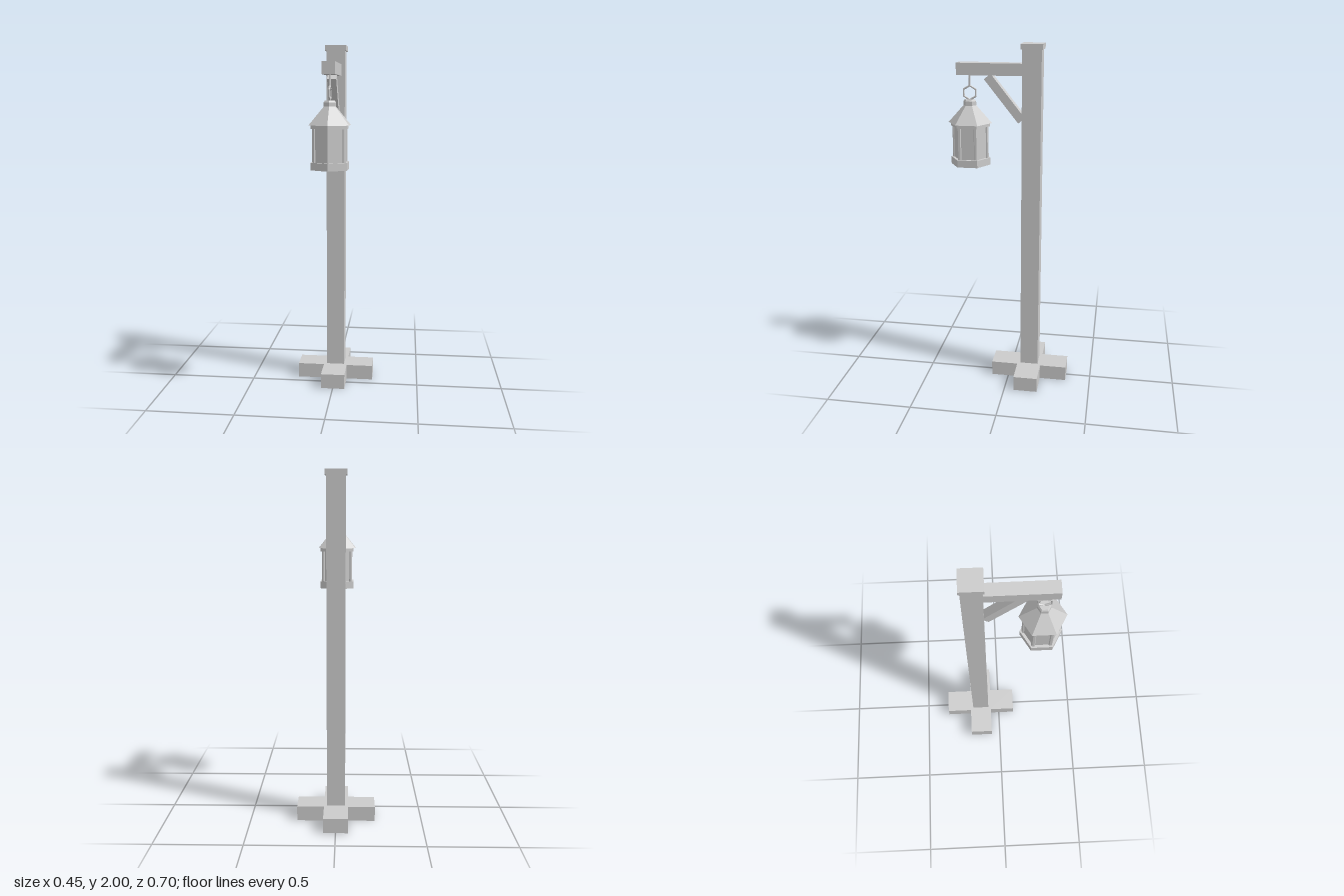
import * as THREE from 'three';

const material = new THREE.MeshStandardMaterial({ color: 0xcccccc, flatShading: true });
const POST_Z = -0.126;
const LAMP_Z = 0.227;

function add(parent, name, geometry, x = 0, y = 0, z = 0) {
  const mesh = new THREE.Mesh(geometry, material);
  mesh.name = name;
  mesh.position.set(x, y, z);
  parent.add(mesh);
  return mesh;
}

// Six-sided frustum spanning y0..y1, with corners facing front and back
function hex(parent, name, rBottom, rTop, y0, y1) {
  return add(parent, name, new THREE.CylinderGeometry(rTop, rBottom, y1 - y0, 6), 0, (y0 + y1) / 2, 0);
}

// Cross-shaped foot: one outline, extruded upwards
function crossGeometry(reach, half, height) {
  const a = reach, b = half;
  const outline = [[a, -b], [a, b], [b, b], [b, a], [-b, a], [-b, b], [-a, b], [-a, -b], [-b, -b], [-b, -a], [b, -a], [b, -b]];
  const shape = new THREE.Shape(outline.map(([x, y]) => new THREE.Vector2(x, y)));
  return new THREE.ExtrudeGeometry(shape, { depth: height, bevelEnabled: false }).rotateX(-Math.PI / 2);
}

function createLantern() {
  const lantern = new THREE.Group();
  lantern.name = 'lantern';

  hex(lantern, 'lanternBase', 0.114, 0.114, 1.323, 1.364);
  hex(lantern, 'lanternPanes', 0.096, 0.096, 1.36, 1.55);
  hex(lantern, 'lanternCollar', 0.112, 0.112, 1.543, 1.567);
  hex(lantern, 'lanternRoof', 0.125, 0.036, 1.562, 1.66);
  hex(lantern, 'roofNeck', 0.036, 0.036, 1.655, 1.683);
  hex(lantern, 'roofNeckTop', 0.036, 0.029, 1.683, 1.692);

  // Corner bars framing the panes
  for (let i = 0; i < 6; i++) {
    const angle = (i * Math.PI) / 3;
    const bar = add(lantern, 'cornerBar', new THREE.CylinderGeometry(0.012, 0.012, 0.19, 6),
      Math.sin(angle) * 0.092, 1.453, Math.cos(angle) * 0.092);
    bar.rotation.y = angle;
  }

  // Six-sided hanging ring and the pin holding it
  const ring = add(lantern, 'hangingRing', new THREE.TorusGeometry(0.039, 0.006, 6, 6), 0, 1.729, 0);
  ring.rotation.set(0, Math.PI / 2, 0);
  ring.geometry.rotateZ(Math.PI / 2);
  add(lantern, 'hangingPin', new THREE.CylinderGeometry(0.006, 0.006, 0.07, 6), 0, 1.8, 0);

  lantern.position.z = LAMP_Z;
  return lantern;
}

export function createModel() {
  const model = new THREE.Group();
  model.name = 'lanternPost';

  add(model, 'crossFoot', crossGeometry(0.227, 0.07, 0.087), 0, 0, POST_Z);
  add(model, 'post', new THREE.BoxGeometry(0.106, 1.9, 0.106), 0, 1.03, POST_Z);
  add(model, 'postCap', new THREE.BoxGeometry(0.121, 0.03, 0.121), 0, 1.985, POST_Z);

  // Horizontal arm running forward from the post
  add(model, 'arm', new THREE.BoxGeometry(0.07, 0.066, 0.38), 0, 1.861, 0.105);

  // Diagonal brace from the post up to the arm
  const low = new THREE.Vector3(0, 1.583, -0.068);
  const high = new THREE.Vector3(0, 1.822, 0.123);
  const along = high.clone().sub(low);
  const brace = add(model, 'brace', new THREE.BoxGeometry(0.05, along.length(), 0.048));
  brace.position.copy(low).add(high).multiplyScalar(0.5);
  brace.rotation.x = Math.atan2(along.z, along.y);

  model.add(createLantern());
  return model;
}
